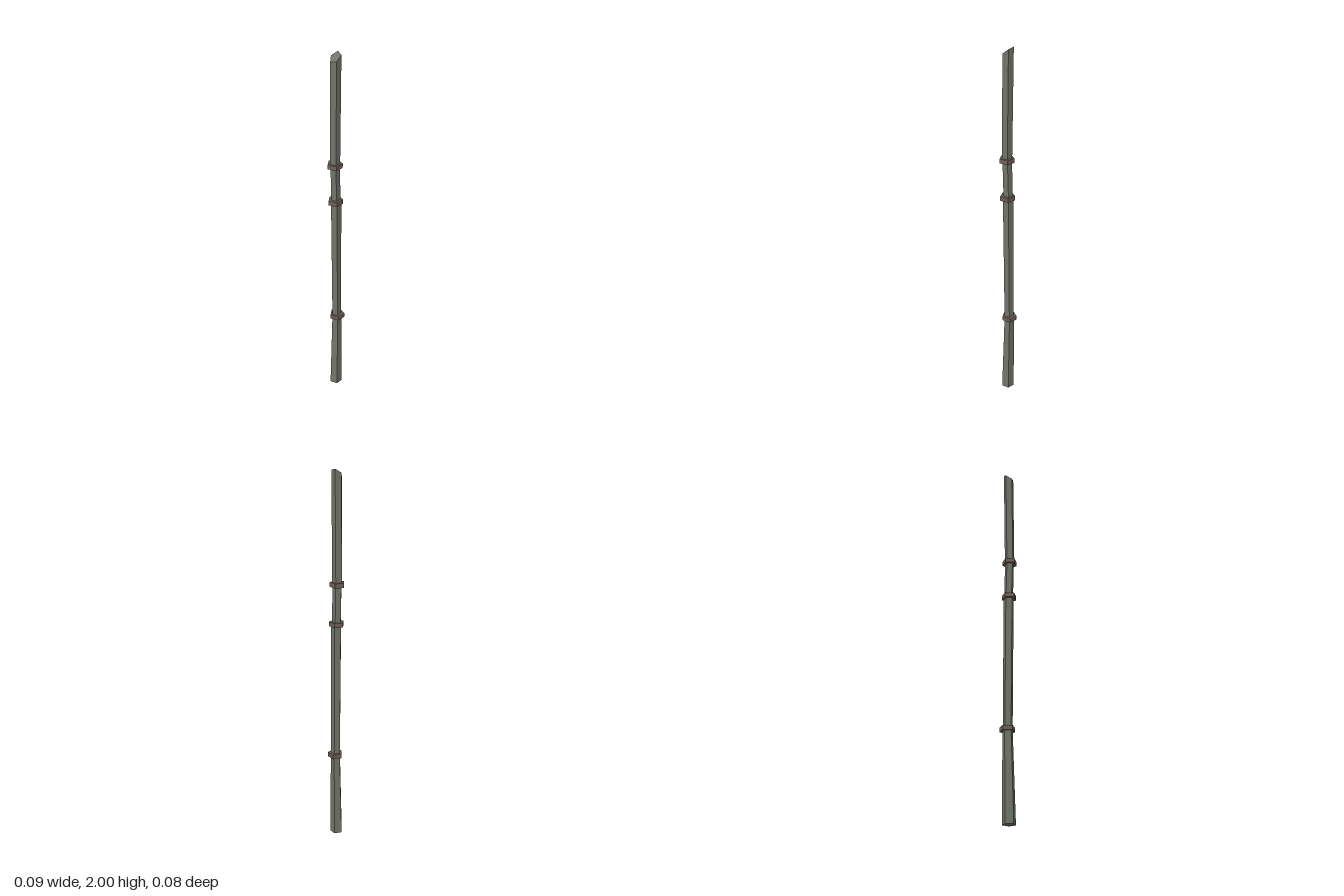
import * as THREE from 'three';

const stalkMaterial = new THREE.MeshStandardMaterial({ color: 0x70756a, flatShading: true });
const nodeMaterial = new THREE.MeshStandardMaterial({ color: 0x705f58, flatShading: true });

// Five-sided prism between two sections { x, y, z, r, slope }, one corner pointing back
function section(name, a, b, material) {
  const geometry = new THREE.CylinderGeometry(1, 1, 1, 5, 1, false, Math.PI);
  const p = geometry.attributes.position;
  for (let i = 0; i < p.count; i++) {
    const s = p.getY(i) > 0 ? b : a;
    const dx = p.getX(i) * s.r;
    p.setXYZ(i, s.x + dx, s.y + dx * (s.slope ?? 0), s.z + p.getZ(i) * s.r);
  }
  geometry.computeVertexNormals();
  const mesh = new THREE.Mesh(geometry, material);
  mesh.name = name;
  return mesh;
}

export function createModel() {
  const group = new THREE.Group();
  group.name = 'bambooStalk';

  // Stalk sections from the ground to the slanted cut at the tip
  const sections = [
    [{ x: -0.004, y: 0, z: 0.003, r: 0.035 }, { x: 0.004, y: 0.476, z: 0.002, r: 0.027 }],
    [{ x: 0.003, y: 0.476, z: 0.002, r: 0.026 }, { x: -0.003, y: 1.212, z: 0.002, r: 0.028 }],
    [{ x: -0.003, y: 1.212, z: 0.001, r: 0.025 }, { x: -0.009, y: 1.42, z: 0.001, r: 0.025 }],
    [{ x: -0.01, y: 1.42, z: 0.001, r: 0.027 }, { x: -0.004, y: 1.98, z: 0, r: 0.028, slope: 0.75 }],
  ];
  sections.forEach(([a, b], i) => group.add(section(`stalkSection${i + 1}`, a, b, stalkMaterial)));

  // Raised bands at the joints
  const nodes = [
    { x: 0.006, y: 0.476, z: 0.003, r: 0.041 },
    { x: -0.006, y: 1.212, z: 0.002, r: 0.04 },
    { x: -0.01, y: 1.42, z: 0.001, r: 0.04 },
  ];
  nodes.forEach((n, i) => group.add(section(
    `nodeRing${i + 1}`, { ...n, y: n.y - 0.012 }, { ...n, y: n.y + 0.012 }, nodeMaterial)));

  return group;
}
